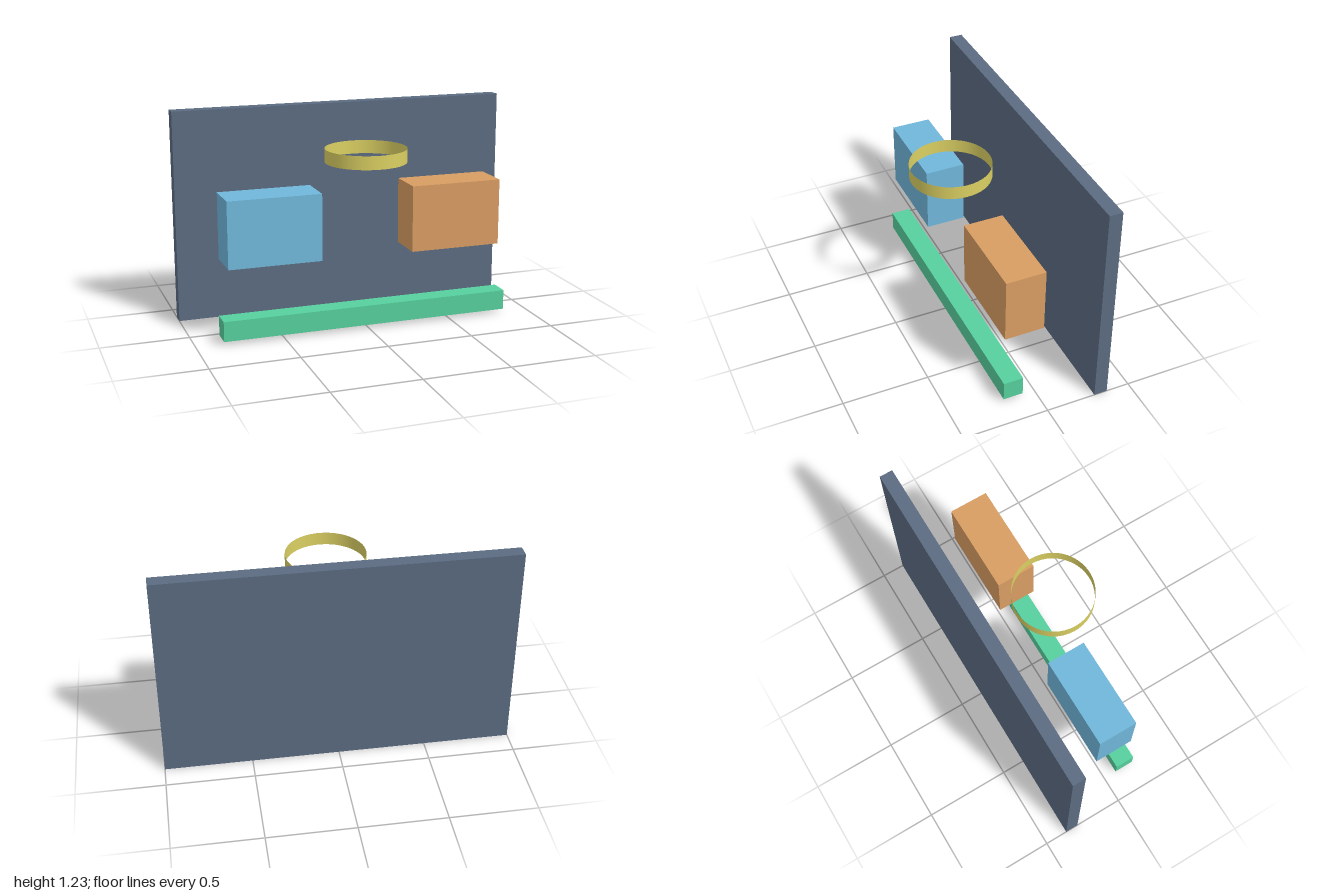
import * as THREE from 'three';

export function createModel() {
  const model = new THREE.Group();
  const U = 1 / 13; // the wall is 26 units wide

  function add(name, geometry, color, x, y, z, side = THREE.FrontSide) {
    const mesh = new THREE.Mesh(geometry, new THREE.MeshStandardMaterial({ color, side }));
    mesh.name = name;
    mesh.position.set(x, y, z).multiplyScalar(U);
    model.add(mesh);
  }
  const box = (w, h, d) => new THREE.BoxGeometry(w * U, h * U, d * U);

  // Upright back wall
  add('backWall', box(26, 16, 1), 0x5b6b80, 0, 8, -4.25);

  // Pair of floating blocks
  add('rightBlock', box(7, 5, 3), 0x70b7da, -7, 8, 0.75);
  add('leftBlock', box(7, 5, 3), 0xd99d63, 7, 8, 0.75);

  // Long low bar in front
  add('frontBar', box(22, 1.5, 1.5), 0x56cf9d, 0, 1.02, 1.75);

  // Thin open hoop, seen from inside and outside
  const hoop = new THREE.CylinderGeometry(3 * U, 3 * U, U, 48, 1, true);
  add('hoop', hoop, 0xdacf62, 0, 13.02, 1.75, THREE.DoubleSide);

  return model;
}
